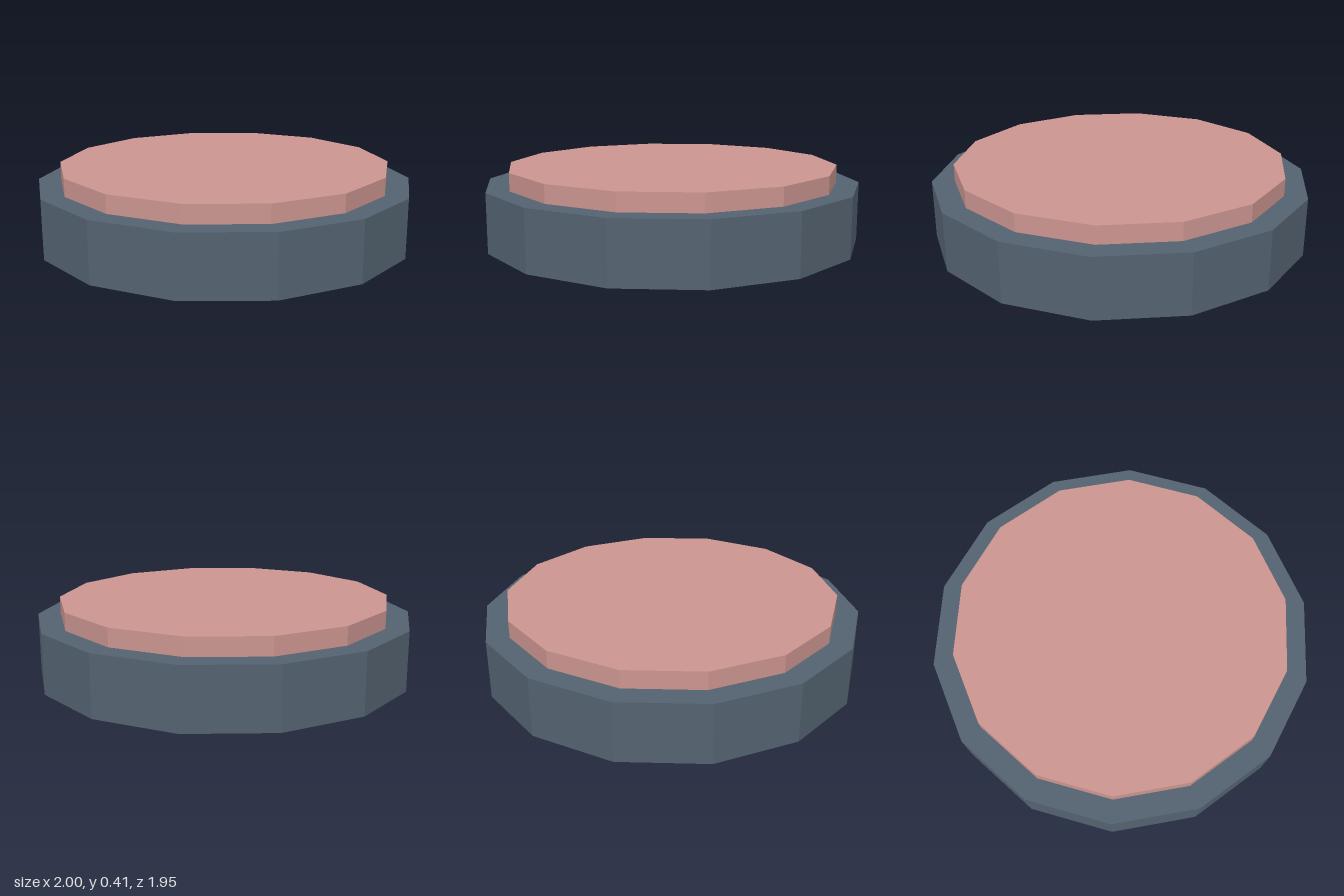
import * as THREE from 'three';

const SIDES = 14;

export function createModel() {
  const model = new THREE.Group();
  model.name = 'roundButton';

  const slate = new THREE.MeshStandardMaterial({ color: 0x546371, flatShading: true });
  slate.name = 'slate blue';
  const pink = new THREE.MeshStandardMaterial({ color: 0xcc9590, flatShading: true });
  pink.name = 'dusty pink';

  // Faceted disc with a corner pointing along +x
  function disc(name, radius, bottom, top, material) {
    const geometry = new THREE.CylinderGeometry(radius, radius, top - bottom, SIDES, 1, false, Math.PI / 2);
    const mesh = new THREE.Mesh(geometry, material);
    mesh.name = name;
    mesh.position.y = (bottom + top) / 2;
    model.add(mesh);
  }

  // Wide base and the smaller raised pad on it
  disc('base', 1, 0, 0.312, slate);
  disc('pad', 0.88, 0.312, 0.405, pink);

  return model;
}
